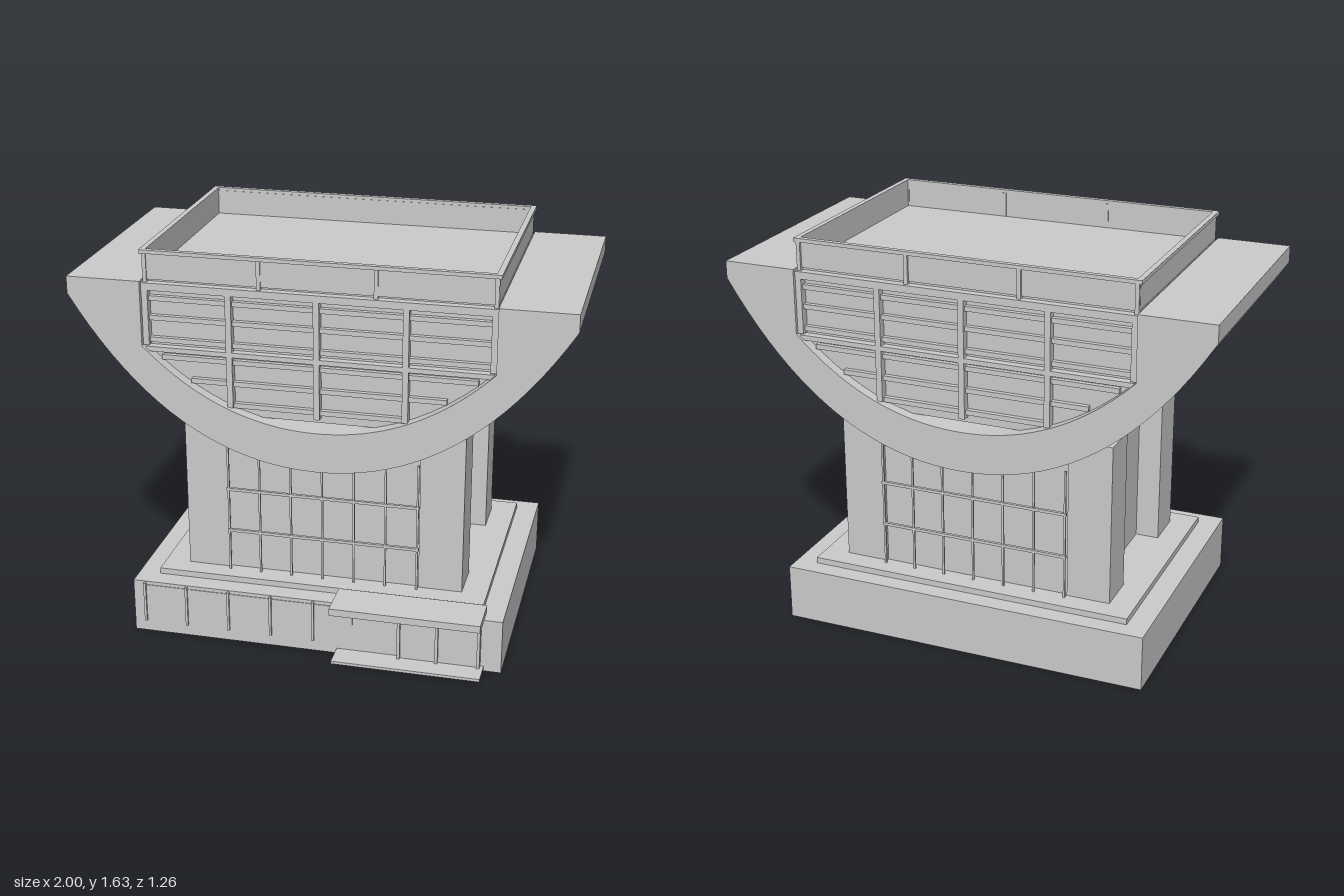
import * as THREE from 'three';

export function createModel() {
  const model = new THREE.Group();
  const concrete = new THREE.MeshStandardMaterial({ color: 0xcccccc });
  concrete.name = 'pale concrete';

  const add = (name, geometry) => {
    const mesh = new THREE.Mesh(geometry, concrete);
    mesh.name = name;
    model.add(mesh);
    return mesh;
  };
  // Box given by its limits on each axis
  const box = (name, x0, x1, y0, y1, z0, z1) => {
    const g = new THREE.BoxGeometry(x1 - x0, y1 - y0, z1 - z0);
    g.translate((x0 + x1) / 2, (y0 + y1) / 2, (z0 + z1) / 2);
    return add(name, g);
  };
  const extrude = (name, shape, z0, z1) => {
    const g = new THREE.ExtrudeGeometry(shape, { depth: z1 - z0, bevelEnabled: false, curveSegments: 20 });
    g.translate(0, 0, z0);
    return add(name, g);
  };

  // Plinth and stepped floor
  box('plinth', -0.77, 0.77, 0, 0.23, -0.63, 0.495);
  box('floorSlab', -0.68, 0.68, 0.23, 0.255, -0.555, 0.415);

  // Corner pillars, glazed hall and side core
  for (const s of [-1, 1]) {
    for (const [z0, z1] of [[0.155, 0.33], [-0.465, -0.295]]) {
      box('pillar', Math.min(s * 0.397, s * 0.577), Math.max(s * 0.397, s * 0.577), 0.255, 0.925, z0, z1);
    }
  }
  box('hall', -0.397, 0.397, 0.255, 0.855, -0.455, 0.32);
  box('sideCore', -0.48, 0.48, 0.255, 0.857, -0.295, 0.155);

  // Mullion grids on the front and back of the hall
  for (const z of [0.35, -0.485]) {
    for (let i = -3; i <= 3; i++) {
      const x = i * 0.131;
      box('hallMullion', x - 0.004, x + 0.004, 0.255, 0.805, z - 0.004, z + 0.004);
    }
    for (const y of [0.435, 0.62]) {
      box('hallRail', -0.4, 0.4, y - 0.006, y + 0.006, z - 0.006, z + 0.006);
    }
  }

  // Curved bowl with a U-shaped section
  const bowl = new THREE.Shape();
  bowl.moveTo(-1, 1.515);
  bowl.lineTo(-1, 1.445);
  bowl.quadraticCurveTo(-0.59, 0.78, 0, 0.78);
  bowl.quadraticCurveTo(0.59, 0.78, 1, 1.445);
  bowl.lineTo(1, 1.515);
  bowl.lineTo(0.7, 1.515);
  bowl.lineTo(0.7, 1.25);
  bowl.quadraticCurveTo(0.39, 0.945, 0, 0.945);
  bowl.quadraticCurveTo(-0.39, 0.945, -0.7, 1.25);
  bowl.lineTo(-0.7, 1.515);
  bowl.closePath();
  extrude('bowl', bowl, -0.59, 0.45);

  // Half width of the bowl's opening at a given height
  const halfWidth = (y) => {
    if (y >= 1.25) return 0.7;
    const t = Math.sqrt(Math.max(0, (y - 0.945) / 0.305));
    return 0.78 * t * (1 - t) + 0.7 * t * t;
  };

  // Upper room, flat along its bottom above the bowl
  const side = [];
  for (let i = 0; i <= 10; i++) {
    const y = 0.972 + (1.25 - 0.972) * (i / 10);
    side.push(new THREE.Vector2(halfWidth(y), y));
  }
  side.push(new THREE.Vector2(0.7, 1.52));
  const mirrored = side.map((p) => new THREE.Vector2(-p.x, p.y)).reverse();
  extrude('upperRoom', new THREE.Shape([...side, ...mirrored]), -0.545, 0.4);

  // Frames and louvres on both upper faces
  for (const [zIn, dir] of [[0.4, 1], [-0.545, -1]]) {
    const bar = (name, x0, x1, y0, y1, depth) => {
      const zOut = zIn + dir * depth;
      box(name, x0, x1, y0, y1, Math.min(zIn, zOut), Math.max(zIn, zOut));
    };
    bar('topFrame', -0.7, 0.7, 1.475, 1.505, 0.033);
    bar('middleFrame', -0.69, 0.69, 1.225, 1.245, 0.033);
    for (const [x, y0] of [[-0.687, 1.25], [-0.35, 1.015], [0, 0.995], [0.35, 1.015], [0.687, 1.25]]) {
      bar('upperMullion', x - 0.012, x + 0.012, y0, 1.5, 0.033);
    }
    for (const y of [1.44, 1.36, 1.27, 1.2, 1.11, 1.02]) {
      const w = halfWidth(y - 0.01) - 0.005;
      bar('louvre', -w, w, y - 0.01, y + 0.01, 0.02);
    }
    // Parapet posts
    for (const x of [-0.688, -0.23, 0.23, 0.688]) {
      bar('parapetPost', x - 0.008, x + 0.008, 1.505, 1.622, 0.02);
    }
  }

  // Roof parapet with a thin projecting rim
  const ring = (name, hx, zb, zf, t, y0, y1) => {
    box(name, -hx, hx, y0, y1, zf - t, zf);
    box(name, -hx, hx, y0, y1, zb, zb + t);
    box(name, -hx, -hx + t, y0, y1, zb + t, zf - t);
    box(name, hx - t, hx, y0, y1, zb + t, zf - t);
  };
  ring('parapet', 0.697, -0.555, 0.415, 0.012, 1.515, 1.622);
  ring('parapetRim', 0.706, -0.567, 0.425, 0.022, 1.62, 1.635);

  // Window band on the plinth
  box('plinthWindow', -0.72, 0.16, 0.055, 0.215, 0.494, 0.498);
  for (let i = 0; i < 5; i++) {
    const x = -0.72 + i * 0.179;
    box('plinthMullion', x - 0.005, x + 0.005, 0.05, 0.225, 0.494, 0.507);
  }

  // Entrance with door frame, doorstep and canopy
  box('doorPanel', 0.35, 0.685, 0.02, 0.225, 0.49, 0.51);
  for (const x of [0.355, 0.51, 0.68]) {
    box('doorPost', x - 0.006, x + 0.006, 0.02, 0.23, 0.49, 0.522);
  }
  box('doorHead', 0.35, 0.685, 0.215, 0.23, 0.49, 0.522);
  box('doorstep', 0.095, 0.7, 0.01, 0.022, 0.49, 0.6);
  box('canopy', 0.095, 0.7, 0.247, 0.277, 0.455, 0.63);

  return model;
}
